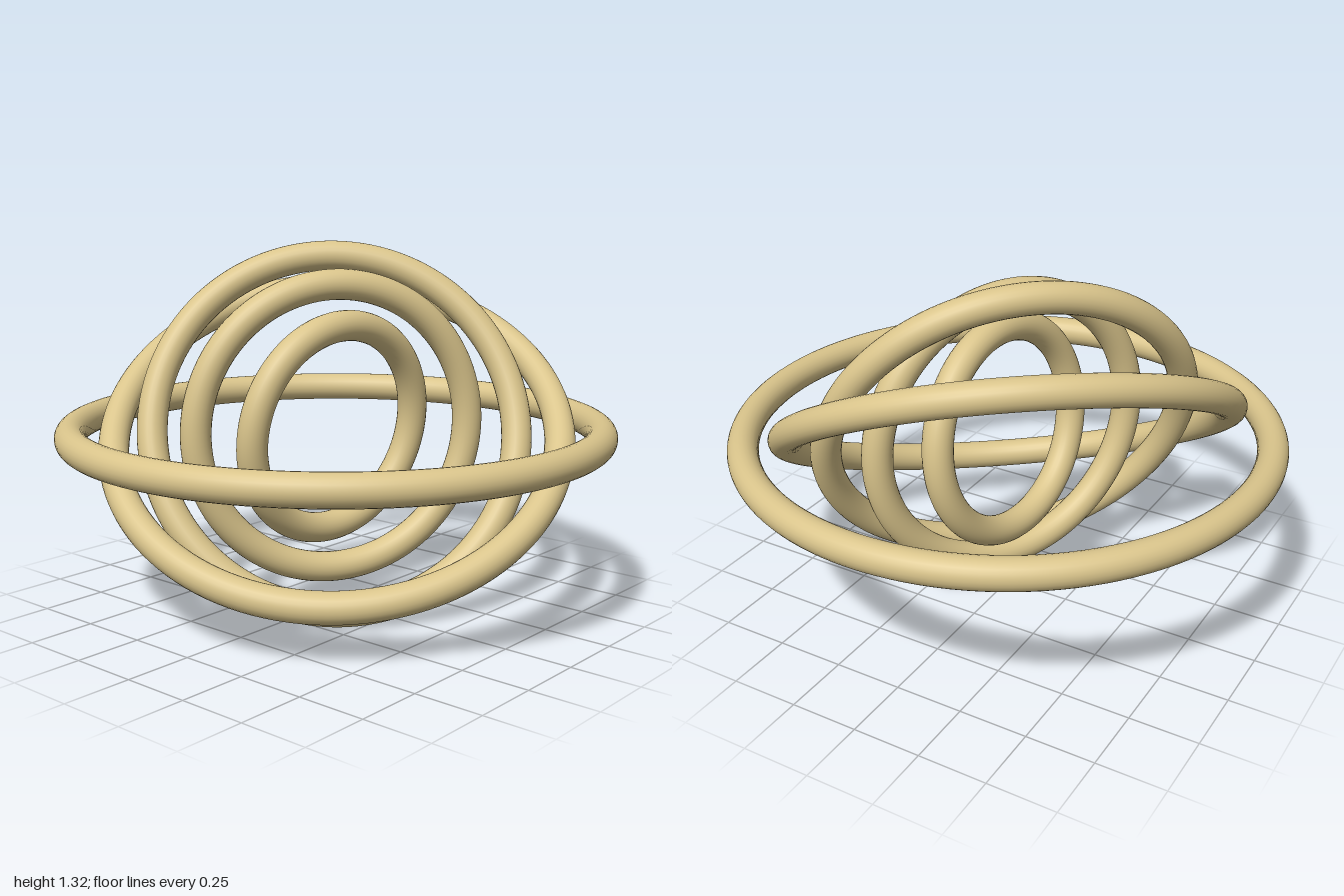
import * as THREE from 'three';

export function createModel() {
  const model = new THREE.Group();
  model.name = 'nestedRings';
  const brass = new THREE.MeshStandardMaterial({ color: 0xd9c48b });
  brass.name = 'pale brass';

  const tube = 0.055;
  const centreY = 0.661;

  // Concentric rings, outermost first: radius and the axis each one turns about
  const rings = [
    ['outerRing', 0.945, [0, 1, 0]],
    ['secondRing', 0.803, [-0.449, 0.823, 0.348]],
    ['middleRing', 0.661, [-0.646, 0.405, 0.646]],
    ['fourthRing', 0.519, [-0.5, 0, 0.866]],
    ['innerRing', 0.378, [-0.15, -0.118, 0.98]],
  ];

  const torusAxis = new THREE.Vector3(0, 0, 1);
  for (const [name, radius, axis] of rings) {
    const ring = new THREE.Mesh(new THREE.TorusGeometry(radius, tube, 24, 128), brass);
    ring.name = name;
    ring.position.y = centreY;
    ring.quaternion.setFromUnitVectors(torusAxis, new THREE.Vector3(...axis).normalize());
    model.add(ring);
  }
  return model;
}
